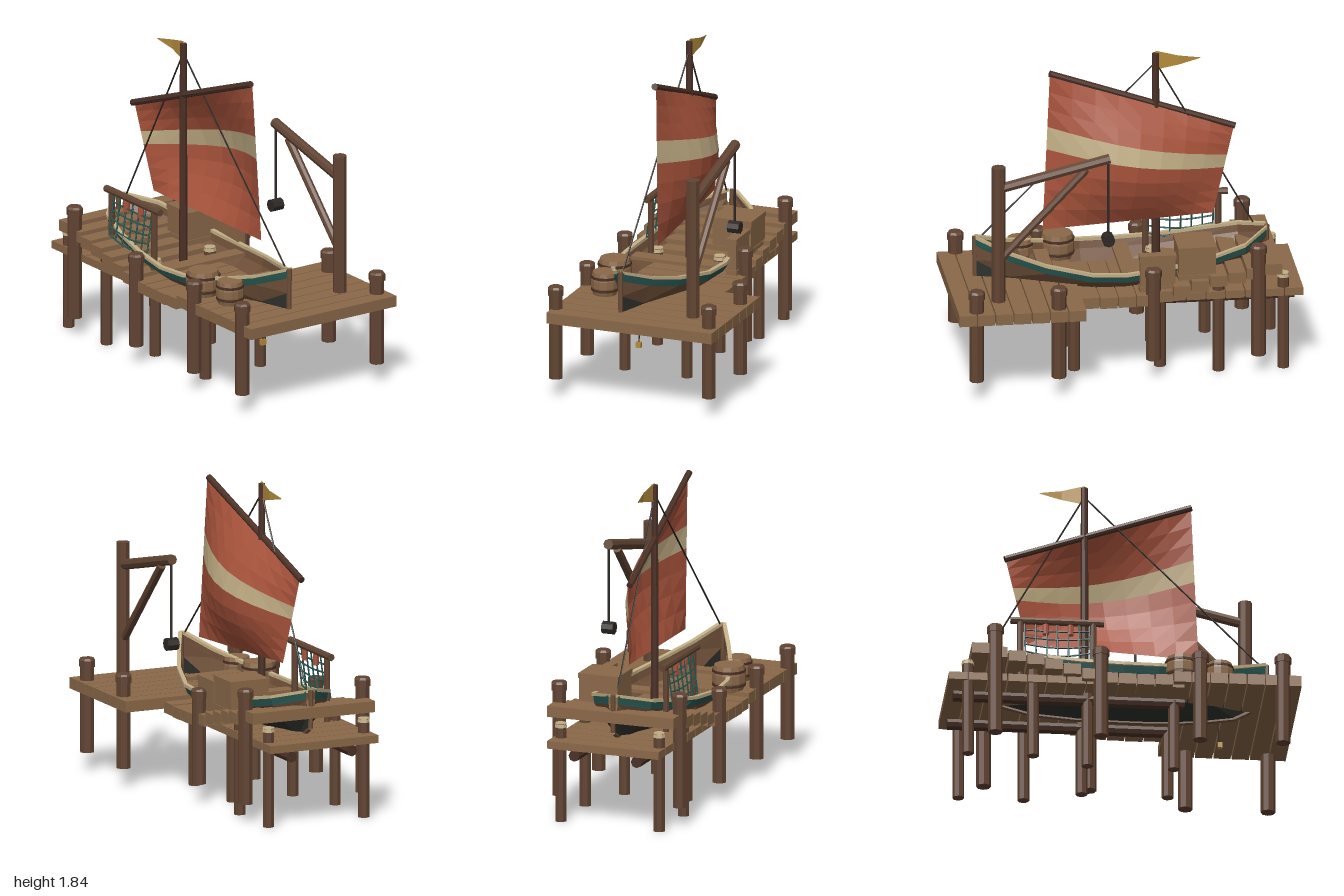
import * as THREE from 'three';

const mat = (name, color, side = THREE.FrontSide) => {
  const m = new THREE.MeshStandardMaterial({ color, flatShading: true, side });
  m.name = name;
  return m;
};

export function createModel() {
  const M = {
    plank: mat('plank wood', 0x8a6848),
    post: mat('post wood', 0x614432),
    beam: mat('dark beam wood', 0x4a3026),
    hull: mat('hull wood', 0x6e4f38, THREE.DoubleSide),
    tar: mat('tarred hull', 0x2c302c, THREE.DoubleSide),
    teal: mat('teal paint', 0x26544f, THREE.DoubleSide),
    sail: mat('red sailcloth', 0xa8533b, THREE.DoubleSide),
    cream: mat('cream', 0xc2ae85, THREE.DoubleSide),
    gold: mat('gold', 0xb58a3c, THREE.DoubleSide),
    rope: mat('dark rope and iron', 0x2e2824),
  };
  const root = new THREE.Group();
  root.name = 'sailboatAtDock';
  const V = (x, y, z) => new THREE.Vector3(x, y, z);

  const add = (parent, name, geo, material, x = 0, y = 0, z = 0) => {
    const m = new THREE.Mesh(geo, material);
    m.name = name;
    m.position.set(x, y, z);
    parent.add(m);
    return m;
  };
  const group = (name) => {
    const g = new THREE.Group();
    g.name = name;
    root.add(g);
    return g;
  };
  const box = (p, name, material, x0, x1, y0, y1, z0, z1) =>
    add(p, name, new THREE.BoxGeometry(x1 - x0, y1 - y0, z1 - z0), material, (x0 + x1) / 2, (y0 + y1) / 2, (z0 + z1) / 2);
  // round bar between two points
  const bar = (p, name, material, a, b, r, sides = 8, r2 = r) => {
    const d = b.clone().sub(a);
    const m = add(p, name, new THREE.CylinderGeometry(r2, r, d.length(), sides), material);
    m.position.copy(a).add(b).multiplyScalar(0.5);
    m.quaternion.setFromUnitVectors(V(0, 1, 0), d.normalize());
    return m;
  };
  // skin over rows of points
  const skin = (rows, closed = false) => {
    const pos = [];
    const n = rows[0].length;
    for (let i = 0; i < rows.length - 1; i++) {
      for (let j = 0; j < (closed ? n : n - 1); j++) {
        const k = (j + 1) % n;
        const [a, b, c, d] = [rows[i][j], rows[i][k], rows[i + 1][k], rows[i + 1][j]];
        for (const v of [a, b, c, a, c, d]) pos.push(v.x, v.y, v.z);
      }
    }
    const g = new THREE.BufferGeometry();
    g.setAttribute('position', new THREE.Float32BufferAttribute(pos, 3));
    g.computeVertexNormals();
    return g;
  };

  // piecewise linear lookup
  const lookup = (t, keys) => {
    let i = 0;
    while (i < keys.length - 2 && t > keys[i + 1][0]) i++;
    const [a, b] = [keys[i], keys[i + 1]];
    return THREE.MathUtils.lerp(a[1], b[1], THREE.MathUtils.clamp((t - a[0]) / (b[0] - a[0]), 0, 1));
  };

  // upper deck: wide front planks, then a narrow run that rises to the back
  const deck = group('upperDeck');
  const deckTop = [[-0.84, 0.662], [-0.63, 0.62], [-0.5, 0.6], [-0.3, 0.55], [-0.12, 0.505], [0.2, 0.5], [0.3, 0.527]];
  const pitch = 1.88 / 18;
  for (let i = 0; i < 18; i++) {
    const z1 = 1 - i * pitch, z0 = z1 - pitch + 0.007;
    const top = lookup((z0 + z1) / 2, deckTop);
    box(deck, 'deckPlank', M.plank, -0.49, i < 7 ? 0.52 : 0.28, top - 0.064, top, z0, z1);
  }

  // lower landing under the deck
  const landing = group('lowerLanding');
  for (let i = 0; i < 12; i++) {
    const z = -1 + i * 0.112;
    box(landing, 'landingPlank', M.plank, -0.45, 0.23, 0.445, 0.49, z, z + 0.105);
  }
  for (const x of [-0.3, 0.08]) {
    bar(landing, 'landingBeam', M.beam, V(x, 0.407, -0.965), V(x, 0.407, 0.35), 0.033);
  }
  const pile = (x, z, top, cap) => {
    bar(landing, 'landingPile', M.post, V(x, 0, z), V(x, top, z), 0.034);
    if (cap) bar(landing, 'pileCap', M.cream, V(x, top - 0.02, z), V(x, top + 0.005, z), 0.037, 8, 0.033);
  };
  for (const x of [-0.41, 0.19]) {
    pile(x, -0.89, 0.57, true);
    pile(x, -0.52, 0.53, false);
  }
  for (const x of [-0.3, 0.08]) {
    pile(x, -0.2, 0.57, true);
    pile(x, 0.29, 0.42, false);
  }

  // mooring posts with wider caps
  const posts = group('mooringPosts');
  for (const [x, z, top] of [[-0.475, 0.895, 0.655], [0.46, 0.895, 0.655], [-0.475, 0.425, 0.655], [0.46, 0.425, 0.655],
    [-0.475, -0.14, 0.66], [0.26, -0.14, 0.66], [-0.475, -0.74, 0.775], [0.26, -0.74, 0.775]]) {
    bar(posts, 'mooringPost', M.post, V(x, 0.11, z), V(x, top - 0.04, z), 0.042);
    bar(posts, 'postCap', M.post, V(x, top - 0.05, z), V(x, top - 0.012, z), 0.048);
    bar(posts, 'postCapTop', M.post, V(x, top - 0.012, z), V(x, top, z), 0.048, 8, 0.038);
  }

  // boat hull from stations: z, half width, rail height, keel height
  const boat = group('boat');
  const cx = -0.105;
  const stations = [[-0.83, 0.03, 0.745, 0.53], [-0.69, 0.18, 0.7, 0.45], [-0.5, 0.235, 0.66, 0.4], [-0.25, 0.275, 0.62, 0.38],
    [0, 0.3, 0.6, 0.375], [0.2, 0.285, 0.605, 0.375], [0.45, 0.205, 0.64, 0.39], [0.65, 0.11, 0.69, 0.42], [0.83, 0.012, 0.76, 0.52]];
  const chine = (rail, keel) => keel + (rail - keel) * 0.42;
  for (const s of [-1, 1]) {
    const rows = (f) => stations.map(([z, w, r, k]) => f(w, r, k).map(([x, y]) => V(cx + s * x, y, z)));
    add(boat, 'hullStripe', skin(rows((w, r) => [[w, r], [w * 0.95, r - 0.05]])), M.teal);
    add(boat, 'hullSide', skin(rows((w, r, k) => [[w * 0.95, r - 0.05], [w * 0.58, chine(r, k)]])), M.hull);
    add(boat, 'hullBottom', skin(rows((w, r, k) => [[w * 0.58, chine(r, k)], [0.008, k]])), M.tar);
    add(boat, 'hullLining', skin(rows((w, r, k) => [[w * 0.97, r], [w * 0.92, r - 0.05], [w * 0.55, chine(r, k)]])), M.hull);
    add(boat, 'rail', skin(rows((w, r) => [[w + 0.01, r - 0.008], [w + 0.01, r + 0.01], [w - 0.015, r + 0.01], [w - 0.015, r - 0.008]]), true), M.cream);
  }
  const keelPath = stations.map(([z, , , k]) => V(cx, k, z));
  keelPath.push(V(cx, 0.765, 0.835));
  keelPath.unshift(V(cx, 0.75, -0.835));
  for (let i = 0; i < keelPath.length - 1; i++) bar(boat, 'keel', M.hull, keelPath[i], keelPath[i + 1], 0.014, 6);
  box(boat, 'thwart', M.plank, cx - 0.27, cx + 0.27, 0.56, 0.58, -0.07, 0.02);
  box(boat, 'thwart', M.plank, cx - 0.17, cx + 0.17, 0.58, 0.6, 0.4, 0.48);

  // mast, yard, stays and pennant
  const rig = group('rigging');
  const head = V(cx, 1.77, -0.2);
  bar(rig, 'mast', M.beam, V(cx, 0.42, -0.2), V(cx, 1.825, -0.2), 0.025, 8, 0.02);
  bar(rig, 'yard', M.beam, V(-0.07, 1.745, 0.41), V(-0.135, 1.35, -0.655), 0.019);
  bar(rig, 'foreStay', M.rope, head, V(cx, 0.77, 0.79), 0.005, 5);
  bar(rig, 'backStay', M.rope, head, V(cx, 0.77, -0.755), 0.005, 5);
  add(rig, 'pennant', skin([[V(cx, 1.84, -0.2), V(cx, 1.725, -0.2)], [V(cx + 0.015, 1.81, -0.33), V(cx + 0.015, 1.755, -0.33)],
    [V(cx, 1.787, -0.455), V(cx, 1.783, -0.455)]]), M.gold);

  // bellied sail in three bands
  const corners = [V(-0.06, 1.74, 0.41), V(-0.125, 1.355, -0.65), V(-0.03, 0.815, 0.455), V(-0.08, 0.85, -0.525)];
  const sailPoint = (u, v) => {
    const p = corners[0].clone().lerp(corners[1], u).lerp(corners[2].clone().lerp(corners[3], u), v);
    p.x += 0.155 * Math.sin(Math.PI * u) * Math.sin(Math.PI * v);
    return p;
  };
  const band = (name, material, v0, v1, n) => {
    const rows = [];
    for (let i = 0; i <= n; i++) {
      const row = [];
      for (let j = 0; j <= 8; j++) row.push(sailPoint(j / 8, v0 + (v1 - v0) * i / n));
      rows.push(row);
    }
    add(rig, name, skin(rows), material);
  };
  band('sailTop', M.sail, 0, 0.335, 3);
  band('sailStripe', M.cream, 0.335, 0.48, 1);
  band('sailBottom', M.sail, 0.48, 1, 4);

  // cargo crane with hanging weight
  const crane = group('crane');
  const kx = 0.305;
  bar(crane, 'cranePost', M.post, V(kx, 0.47, 0.75), V(kx, 1.34, 0.75), 0.04);
  bar(crane, 'craneArm', M.post, V(kx, 1.21, 0.74), V(kx, 1.36, 0.115), 0.03);
  bar(crane, 'craneBrace', M.post, V(kx, 0.79, 0.73), V(kx, 1.3, 0.25), 0.024);
  bar(crane, 'craneRope', M.rope, V(kx, 1.35, 0.125), V(kx, 0.88, 0.125), 0.007, 6);
  bar(crane, 'craneWeight', M.rope, V(kx - 0.035, 0.87, 0.125), V(kx + 0.035, 0.87, 0.125), 0.037);

  // barrels
  const barrels = group('barrels');
  for (const [x, z, r, y0, h] of [[-0.345, 0.33, 0.097, 0.52, 0.15], [-0.315, 0.55, 0.08, 0.525, 0.135]]) {
    const profile = [[0, 0], [0.85, 0], [1, 0.35], [1, 0.65], [0.88, 1], [0, 1]].map(([a, b]) => new THREE.Vector2(a * r, b * h));
    add(barrels, 'barrel', new THREE.LatheGeometry(profile, 12), M.plank, x, y0, z);
    for (const t of [0.25, 0.78]) bar(barrels, 'barrelHoop', M.beam, V(x, y0 + h * t - 0.007, z), V(x, y0 + h * t + 0.007, z), r * 1.01, 12);
  }

  // crates with raised corner battens
  const crates = group('crates');
  const crate = (x0, x1, y0, y1, z0, z1) => {
    box(crates, 'crate', M.plank, x0, x1, y0, y1, z0, z1);
    for (const y of [y0 + 0.015, y1 - 0.015]) {
      box(crates, 'crateBatten', M.plank, x0 - 0.005, x1 + 0.005, y - 0.015, y + 0.015, z0 - 0.005, z1 + 0.005);
    }
  };
  crate(0, 0.235, 0.57, 0.765, -0.5, -0.29);
  crate(0.18, 0.232, 0.51, 0.725, -0.27, -0.07);

  // net rack with floats
  const rack = group('netRack');
  const nx = -0.328;
  bar(rack, 'rackRail', M.post, V(nx, 0.88, -0.64), V(nx, 0.88, -0.11), 0.021);
  for (const z of [-0.585, -0.17]) bar(rack, 'rackPost', M.post, V(nx, 0.5, z), V(nx, 0.88, z), 0.019);
  const netPoint = (u, v) => V(nx - 0.035 * v, 0.87 - v * (0.24 + 0.03 * Math.sin(Math.PI * u)), -0.56 + 0.37 * u);
  for (let i = 0; i <= 6; i++) {
    bar(rack, 'netCord', M.teal, netPoint(i / 6, 0), netPoint(i / 6, 1), 0.005, 5);
  }
  for (let j = 1; j <= 5; j++) {
    for (let i = 0; i < 6; i++) bar(rack, 'netCord', M.teal, netPoint(i / 6, j / 5), netPoint((i + 1) / 6, j / 5), 0.005, 5);
  }
  for (const z of [-0.44, -0.3]) bar(rack, 'netFloat', M.sail, V(nx, 0.8, z), V(nx, 0.86, z), 0.018);

  // small lantern hung below the deck
  const lantern = group('hangingLantern');
  bar(lantern, 'lanternRope', M.rope, V(-0.1, 0.47, 0.55), V(-0.1, 0.265, 0.57), 0.004, 5);
  box(lantern, 'lantern', M.gold, -0.115, -0.085, 0.238, 0.27, 0.557, 0.583);

  return root;
}
